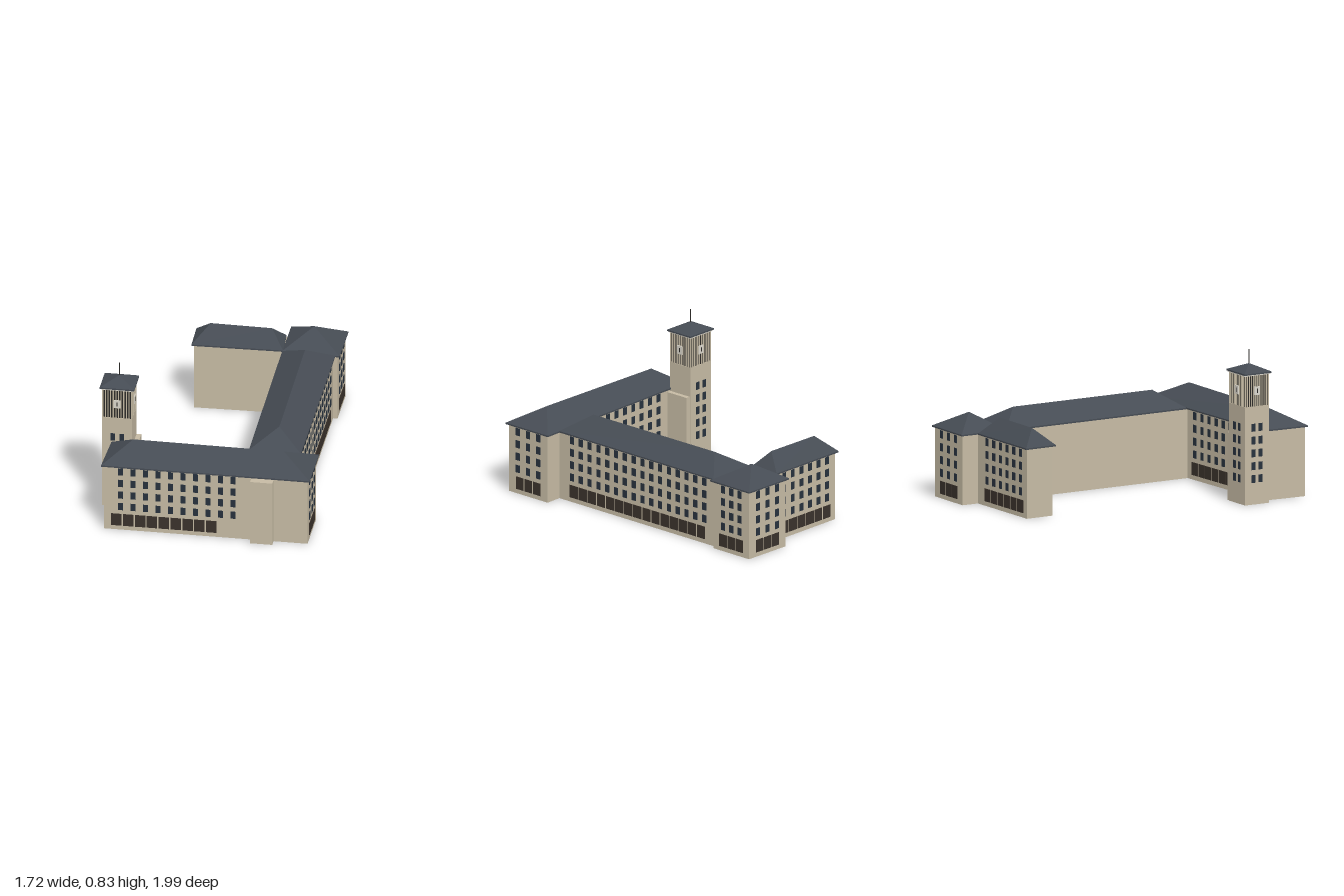
import * as THREE from 'three';
import { mergeGeometries } from 'three/addons/utils/BufferGeometryUtils.js';

const mat = (color) => new THREE.MeshStandardMaterial({ color, flatShading: true });
const WALL = mat(0xc6bba4), ROOF = mat(0x464c54), GLASS = mat(0x27313d);
const DOOR = mat(0x3a322c), DARK = mat(0x2c2a28), TRIM = mat(0xdcd8cd);
const EAVE = 0.387, RIDGE = 0.475;
const ROWS = [0.14, 0.21, 0.28, 0.35];

function mesh(name, geometry, material) {
  const m = new THREE.Mesh(geometry, material);
  m.name = name;
  return m;
}

function box(w, h, d, x, y, z) {
  return new THREE.BoxGeometry(w, h, d).translate(x, y, z);
}

// Upright prism over a plan of [x, z] corners
function prism(plan, y0, y1) {
  const shape = new THREE.Shape(plan.map(([x, z]) => new THREE.Vector2(x, -z)));
  return new THREE.ExtrudeGeometry(shape, { depth: y1 - y0, bevelEnabled: false })
    .rotateX(-Math.PI / 2).translate(0, y0, 0);
}

// Hipped roof over plan A, B, C, D with its ridge from r0 (side DA) to r1 (side BC)
function hipRoof([a, b, c, d], r0, r1, y0, y1) {
  const pos = [];
  const tri = (...pts) => pts.forEach(([p, y]) => pos.push(p[0], y, p[1]));
  const A = [a, y0], B = [b, y0], C = [c, y0], D = [d, y0], P = [r0, y1], Q = [r1, y1];
  tri(A, B, Q); tri(C, D, P); tri(B, C, Q); tri(D, A, P);
  if (r0 !== r1) { tri(A, Q, P); tri(C, P, Q); }
  tri(A, C, B); tri(A, D, C);
  const g = new THREE.BufferGeometry();
  g.setAttribute('position', new THREE.Float32BufferAttribute(pos, 3));
  g.computeVertexNormals();
  return g;
}

// Move each corner inward from both of its sides
function inset(plan, t) {
  return plan.map((p, i) => {
    const out = [...p];
    for (const q of [plan[(i + 1) % 4], plan[(i + 3) % 4]]) {
      const len = Math.hypot(q[0] - p[0], q[1] - p[1]);
      out[0] += (q[0] - p[0]) / len * t;
      out[1] += (q[1] - p[1]) / len * t;
    }
    return out;
  });
}

// Group at wall start p: x runs along the wall to q, z points outward
function wallFrame(name, p, q) {
  const g = new THREE.Group();
  g.name = name;
  g.position.set(p[0], 0, p[1]);
  g.rotation.y = Math.atan2(p[1] - q[1], q[0] - p[0]);
  return g;
}

// Grid of upper windows: n columns centred from s0 to s1 along the wall
function windows(n, s0, s1, rows = ROWS, w = 0.028) {
  const parts = [];
  for (let i = 0; i < n; i++) {
    const s = s0 + (s1 - s0) * i / (n - 1);
    for (const y of rows) parts.push(box(w, 0.042, 0.006, s, y, 0));
  }
  return mesh('windows', mergeGeometries(parts), GLASS);
}

// Row of broad ground-floor openings filling s0 to s1
function groundOpenings(n, s0, s1) {
  const step = (s1 - s0) / n, parts = [];
  for (let i = 0; i < n; i++) {
    parts.push(box(step * 0.88, 0.07, 0.006, s0 + step * (i + 0.5), 0.06, 0));
  }
  return mesh('groundOpenings', mergeGeometries(parts), DOOR);
}

// Building range; extend lengthens the walls past either end into a neighbour
function block({ name, plan, ridge, extend = [0, 0], facades = [] }) {
  const g = new THREE.Group();
  g.name = name;
  const walls = inset(plan, 0.013);
  const [a, b, c, d] = walls;
  const len = Math.hypot(b[0] - a[0], b[1] - a[1]);
  const dir = [(b[0] - a[0]) / len, (b[1] - a[1]) / len];
  const shift = (p, t) => [p[0] + dir[0] * t, p[1] + dir[1] * t];
  const footprint = [shift(a, -extend[0]), shift(b, extend[1]), shift(c, extend[1]), shift(d, -extend[0])];
  g.add(mesh('walls', prism(footprint, 0, EAVE - 0.004), WALL));
  g.add(mesh('eaves', prism(plan, EAVE - 0.008, EAVE), ROOF));
  g.add(mesh('roof', hipRoof(plan, ridge[0], ridge[1], EAVE, RIDGE), ROOF));
  for (const { side, win, ground } of facades) {
    const f = wallFrame('facade', walls[side], walls[(side + 1) % 4]);
    f.add(windows(...win), groundOpenings(...ground));
    g.add(f);
  }
  return g;
}

function createTower() {
  const tower = new THREE.Group();
  tower.name = 'tower';
  tower.position.set(-0.193, 0, 0.70);
  tower.rotation.y = Math.atan2(0.652, 0.758);
  const W = 0.163, D = 0.15, LOUVRE0 = 0.535, LOUVRE1 = 0.705;
  const rect = (w, d) => [[-w / 2, d / 2], [w / 2, d / 2], [w / 2, -d / 2], [-w / 2, -d / 2]];
  tower.add(mesh('shaft', box(W, LOUVRE0, D, 0, LOUVRE0 / 2, 0), WALL));
  tower.add(mesh('belfry', box(W - 0.008, LOUVRE1 - LOUVRE0, D - 0.008, 0, (LOUVRE0 + LOUVRE1) / 2, 0), DARK));
  tower.add(mesh('cornice', box(W + 0.012, 0.014, D + 0.012, 0, LOUVRE1 + 0.006, 0), TRIM));
  const top = rect(0.187, 0.169), apex = [0, 0];
  tower.add(mesh('towerEaves', prism(top, 0.71, 0.718), ROOF));
  tower.add(mesh('towerRoof', hipRoof(top, apex, apex, 0.718, 0.757), ROOF));
  tower.add(mesh('mast', new THREE.CylinderGeometry(0.0018, 0.0018, 0.09, 6).translate(0, 0.787, 0), DARK));

  // Slats and a framed square panel on each face, windows on the three free faces
  const corners = rect(W, D);
  corners.forEach((p, i) => {
    const q = corners[(i + 1) % 4], len = i % 2 ? D : W, n = 11;
    const face = wallFrame('towerFace', p, q);
    const slats = [];
    for (let k = 0; k <= n; k++) {
      slats.push(box(0.0055, LOUVRE1 - LOUVRE0, 0.006, 0.003 + (len - 0.006) * k / n, (LOUVRE0 + LOUVRE1) / 2, -0.003));
    }
    face.add(mesh('slats', mergeGeometries(slats), WALL));
    face.add(mesh('panel', box(0.036, 0.046, 0.006, len / 2, 0.62, 0.001), TRIM));
    face.add(mesh('panelCentre', box(0.007, 0.024, 0.002, len / 2, 0.62, 0.004), DARK));
    if (i !== 1) face.add(windows(2, len * 0.35, len * 0.65, [...ROWS, 0.42], 0.024));
    tower.add(face);
  });

  // Low link to the neighbouring range
  tower.add(mesh('link', box(0.06, 0.37, 0.14, 0.077, 0.185, 0), WALL));
  return tower;
}

export function createModel() {
  const model = new THREE.Group();
  model.name = 'courtyardBuilding';

  const frontPlan = [[0, 0.99], [0.855, 0.25], [0.654, 0.016], [-0.17, 0.775]];
  const cornerApex = [-0.352, -0.793];
  const blocks = [
    {
      name: 'frontRange', plan: frontPlan, ridge: [[0.01, 0.773], [0.633, 0.243]],
      facades: [
        { side: 0, win: [10, 0.09, 0.70], ground: [9, 0.035, 0.615] },
        { side: 1, win: [3, 0.065, 0.215], ground: [3, 0.05, 0.235] },
        { side: 2, win: [8, 0.425, 0.905], ground: [8, 0.39, 0.92] },
      ],
    },
    {
      name: 'longRange', plan: [[-0.373, -0.587], [0.373, 0.27], [0.585, 0.085], [-0.15, -0.77]],
      ridge: [[-0.177, -0.582], [0.4, 0.08]], extend: [0.06, 0.06],
      facades: [{ side: 2, win: [16, 0.07, 1.035], ground: [15, 0.05, 1.045] }],
    },
    {
      name: 'cornerBlock', plan: [[-0.373, -0.587], [-0.13, -0.783], [-0.315, -1.0], [-0.553, -0.8]],
      ridge: [cornerApex, cornerApex],
      facades: [
        { side: 1, win: [3, 0.07, 0.19], ground: [3, 0.04, 0.22] },
        { side: 2, win: [3, 0.07, 0.215], ground: [3, 0.05, 0.235] },
      ],
    },
    {
      name: 'sideRange', plan: [[-0.74, -0.26], [-0.373, -0.593], [-0.495, -0.72], [-0.865, -0.40]],
      ridge: [[-0.735, -0.39], [-0.48, -0.605]], extend: [0, 0.06],
      facades: [{ side: 2, win: [6, 0.06, 0.40], ground: [6, 0.03, 0.43] }],
    },
  ];
  blocks.forEach((b) => model.add(block(b)));

  // Stair projection on the front range
  const frontWalls = inset(frontPlan, 0.013);
  const stair = wallFrame('stairProjection', frontWalls[0], frontWalls[1]);
  stair.add(mesh('stairWalls', box(0.12, 0.372, 0.06, 0.86, 0.186, 0.013), WALL));
  model.add(stair, createTower());
  return model;
}
